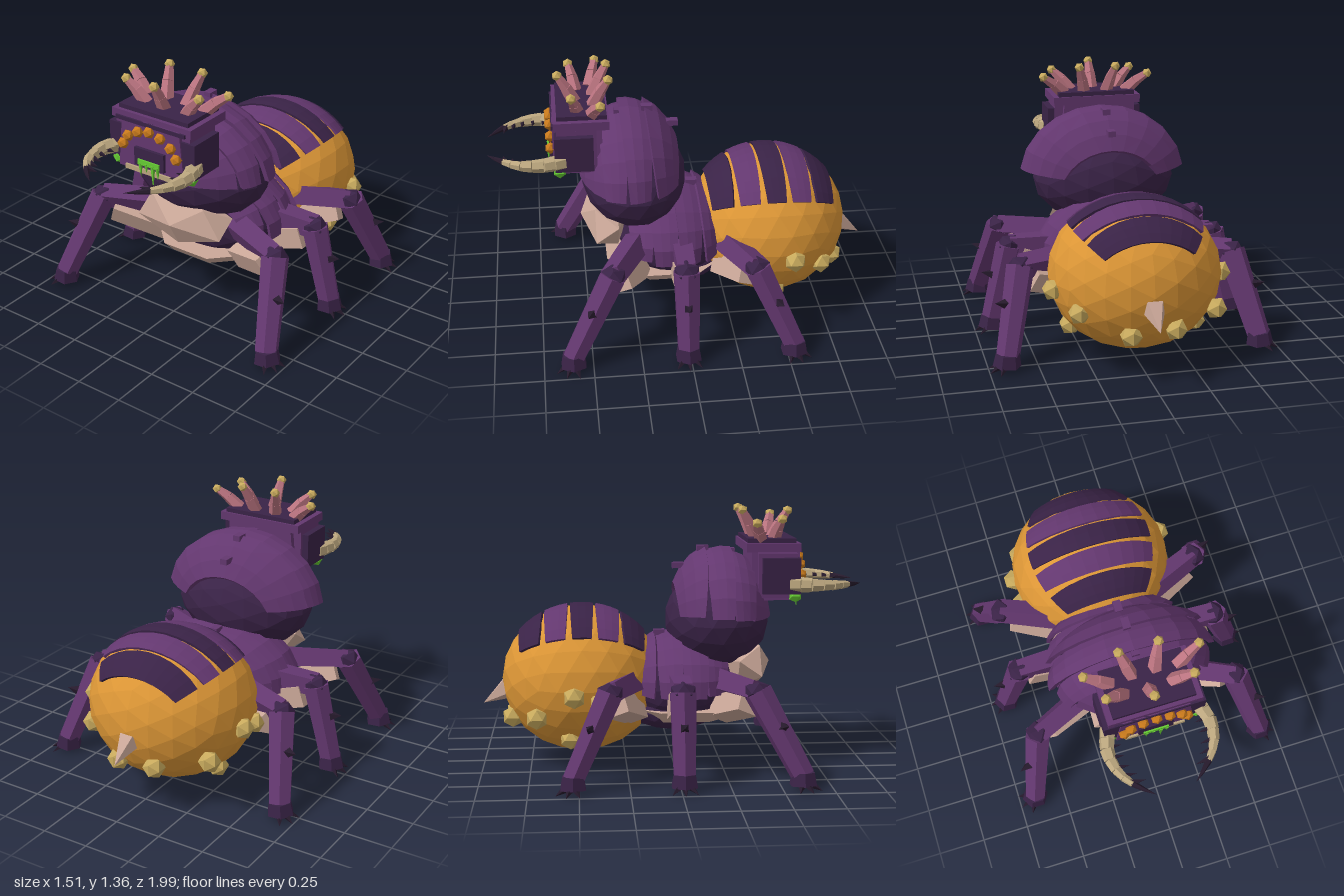
import * as THREE from 'three';

const colour = (name, hex) => {
  const m = new THREE.MeshStandardMaterial({ color: hex });
  m.name = name;
  return m;
};
const V = (x, y, z) => new THREE.Vector3(x, y, z);
const UP = V(0, 1, 0);

// Faceted normals for the low-poly look
function flat(geo) {
  const g = geo.index ? geo.toNonIndexed() : geo;
  g.computeVertexNormals();
  return g;
}

export function createModel() {
  const dark = colour('dark purple', 0x3a2347);
  const purple = colour('purple', 0x63376f);
  const amber = colour('amber', 0xdc9636);
  const flesh = colour('pale flesh', 0xcba899);
  const khaki = colour('khaki gold', 0xc9ab5e);
  const pink = colour('dusky pink', 0xbb7480);
  const green = colour('venom green', 0x66cc33);
  const eyeOrange = colour('eye orange', 0xc97a1c);
  const claw = colour('claw black', 0x261a2c);
  const bone = colour('bone', 0xbba67e);

  const model = new THREE.Group();
  model.name = 'armouredCrawler';

  function add(name, geo, mat, pos, parent = model) {
    const mesh = new THREE.Mesh(flat(geo), mat);
    mesh.name = name;
    if (pos) mesh.position.copy(pos);
    parent.add(mesh);
    return mesh;
  }
  function ball(name, c, r, detail, mat, parent) {
    const g = new THREE.IcosahedronGeometry(1, detail).scale(r.x, r.y, r.z);
    return add(name, g, mat, c, parent);
  }
  const knob = (name, c, r, mat, parent) => ball(name, c, V(r, r, r), 0, mat, parent);
  function box(name, w, h, d, c, mat, parent) {
    return add(name, new THREE.BoxGeometry(w, h, d), mat, c, parent);
  }
  // Tapered prism running from a to b
  function limb(name, a, b, r0, r1, sides, mat, parent) {
    const d = b.clone().sub(a);
    const g = new THREE.CylinderGeometry(r1, r0, d.length(), sides);
    g.rotateY(Math.PI / sides);
    const m = add(name, g, mat, a.clone().add(b).multiplyScalar(0.5), parent);
    m.quaternion.setFromUnitVectors(UP, d.normalize());
    return m;
  }
  // Curved armour strip wrapped over an ellipsoid; th runs from the front pole,
  // t is the side reach and taper narrows the two ends
  function band(name, c, r, th0, th1, t, thick, flare, taper, mat) {
    const g = new THREE.BoxGeometry(1, 1, 1, 10, 1, 3);
    const p = g.attributes.position;
    for (let i = 0; i < p.count; i++) {
      const side = p.getX(i) * 2, a = side * t;
      const k = 1 + thick * p.getY(i) + flare * p.getZ(i);
      const along = 0.5 - p.getZ(i) * (1 - taper * side * side);
      const th = th0 + (th1 - th0) * along;
      p.setXYZ(i, r.x * k * Math.sin(th) * Math.sin(a),
        r.y * k * Math.sin(th) * Math.cos(a), r.z * k * Math.cos(th));
    }
    return add(name, g, mat, c);
  }

  // Abdomen with striped back plates
  const abC = V(0, 0.455, -0.48), abR = V(0.438, 0.385, 0.418);
  ball('abdomen', abC, abR, 3, amber);
  for (let i = 0; i < 5; i++) {
    const z0 = 0.325 - i * 0.132, z1 = z0 - 0.118;
    band('backStripe', abC, abR, Math.acos(z0 / 0.42), Math.acos(z1 / 0.42),
      0.84, 0.05, 0, 0.18, i % 2 ? purple : dark);
  }
  // Warts and tail spike
  [[0.43, 0.42, -0.565], [0.33, 0.345, -0.72], [0.33, 0.2, -0.48], [0.1, 0.25, -0.83],
    [-0.36, 0.31, -0.71], [-0.435, 0.43, -0.52], [-0.42, 0.4, -0.39], [-0.3, 0.19, -0.54],
    [-0.12, 0.27, -0.84]].forEach(p => knob('wart', V(...p), 0.058, khaki));
  limb('tailSpike', V(0, 0.4, -0.87), V(0, 0.32, -1), 0.062, 0, 5, flesh);

  // Lower torso, belly and sternum
  const toC = V(0, 0.43, 0.03);
  ball('torso', toC, V(0.34, 0.24, 0.3), 2, dark);
  ball('belly', V(0, 0.3, 0), V(0.3, 0.12, 0.27), 2, dark);
  add('sternum', new THREE.CylinderGeometry(0.36, 0.3, 0.06, 8).rotateY(Math.PI / 8),
    flesh, V(0, 0.29, 0.06));
  for (let i = 0; i < 4; i++) {
    const th = 0.7 + i * 0.42;
    band('torsoPlate', toC, V(0.385, 0.262, 0.31), th, th + 0.47, 1.68, 0.06, 0.07, 0.3, purple);
  }

  // Raised chest with overlapping shoulder plates
  const chC = V(0, 0.78, 0.235);
  ball('chest', V(0, 0.765, 0.235), V(0.385, 0.25, 0.275), 2, dark);
  [[0.08, 0.95], [0.88, 1.4], [1.32, 1.88], [1.8, 2.62]].forEach(([a, b], i) =>
    band('shoulderPlate', chC, V(0.425, 0.35, 0.265), a, b, 1.53 - i * 0.03, 0.07, 0.07,
      i ? 0.3 : 0.08, purple));
  const gem = new THREE.IcosahedronGeometry(1, 0).rotateX(0.554).scale(0.305, 0.146, 0.13);
  add('breastPlate', gem, flesh, V(0, 0.53, 0.39));

  // Studs along the spine
  [[0.69, -0.07], [1.045, 0.03], [1.135, 0.16], [1.12, 0.3]].forEach(([y, z]) =>
    box('spineStud', 0.04, 0.03, 0.06, V(0, y, z), purple));

  // Head block and cap
  const head = new THREE.Group();
  head.name = 'head';
  model.add(head);
  const skull = new THREE.BoxGeometry(0.4, 0.27, 0.25);
  const sp = skull.attributes.position;
  for (let i = 0; i < sp.count; i++) if (sp.getY(i) > 0) sp.setX(i, sp.getX(i) * 0.87);
  add('skull', skull, purple, V(0, 1.015, 0.525), head);
  box('cap', 0.48, 0.045, 0.28, V(0, 1.155, 0.505), purple, head);
  box('capTop', 0.42, 0.03, 0.25, V(0, 1.185, 0.5), dark, head);
  box('brow', 0.42, 0.02, 0.02, V(0, 1.14, 0.645), dark, head);
  box('mouth', 0.18, 0.095, 0.03, V(0, 0.965, 0.652), dark, head);
  box('lip', 0.31, 0.025, 0.04, V(0, 0.888, 0.64), bone, head);

  // Venom dripping from the mouth
  box('venom', 0.13, 0.028, 0.02, V(0, 0.943, 0.665), green, head);
  [[-0.05, 0.08], [-0.015, 0.05], [0.025, 0.13], [0.055, 0.07]].forEach(([x, h]) =>
    limb('venomDrip', V(x, 0.94, 0.668), V(x, 0.94 - h, 0.668), 0.013, 0, 5, green, head));

  // Arc of eyes
  [[0, 1.11], [0.068, 1.095], [0.13, 1.06], [0.163, 1.01]].forEach(([x, y]) => {
    for (const s of x ? [1, -1] : [1]) knob('eye', V(s * x, y, 0.66), 0.03, eyeOrange, head);
  });

  // Crown of horns: base x, base z, then tip
  [[0, 0.53, 0, 1.33, 0.61], [0.12, 0.52, 0.22, 1.3, 0.55],
    [0.06, 0.44, 0.1, 1.34, 0.36], [0.17, 0.45, 0.29, 1.285, 0.41]].forEach(([bx, bz, x, y, z]) => {
    for (const s of x ? [1, -1] : [1]) {
      const a = V(s * bx, 1.185, bz), b = V(s * x, y, z);
      const mid = a.clone().lerp(b, 0.5).add(V(0, 0.008, 0));
      limb('hornBase', a, mid, 0.037, 0.031, 5, pink, head);
      limb('horn', mid, b, 0.03, 0.02, 5, pink, head);
      knob('hornTip', b, 0.027, khaki, head);
    }
  });

  for (const s of [1, -1]) {
    // Cheeks and venom glands
    box('cheekRim', 0.05, 0.23, 0.2, V(s * 0.2, 1.01, 0.53), purple, head);
    box('cheekPlate', 0.095, 0.185, 0.195, V(s * 0.2125, 1.01, 0.545), dark, head);
    knob('venomGland', V(s * 0.22, 0.905, 0.62), 0.036, green, head);

    // Curved mandible with dark tip and inner teeth
    const curve = new THREE.CatmullRomCurve3([V(s * 0.23, 0.965, 0.6), V(s * 0.265, 0.965, 0.7),
      V(s * 0.252, 0.962, 0.81), V(s * 0.195, 0.96, 0.9), V(s * 0.1, 0.955, 0.985)]);
    const n = 8, at = i => curve.getPoint(i / n), rad = i => 0.044 * (1 - i / n) ** 0.7;
    for (let i = 0; i < n; i++) {
      const tip = i >= n - 2;
      limb(tip ? 'mandibleTip' : 'mandible', at(i), at(i + 1), rad(i), rad(i + 1), 6,
        tip ? claw : bone, head);
    }
    for (let i = 1.8; i < 6.3; i++) {
      const p = at(i);
      limb('mandibleTooth', p, V(p.x - s * 0.075, p.y, p.z + 0.008), 0.02, 0, 4, claw, head);
    }

    // Three legs on each side: knee z and foot z
    [['frontLeg', 0.385, 0.6], ['middleLeg', 0.015, 0.015], ['rearLeg', -0.345, -0.53]]
      .forEach(([name, kz, fz]) => {
        const leg = new THREE.Group();
        leg.name = name;
        model.add(leg);
        const knee = V(s * 0.555, 0.475, kz), foot = V(s * 0.655, 0.07, fz);
        const out = V(s * 1, 0.25, (fz - kz) * 2).normalize();
        limb('coxa', V(s * 0.24, 0.32, kz * 0.6), V(s * 0.5, 0.41, kz * 0.92),
          0.08, 0.08, 4, flesh, leg);
        limb('femur', V(s * 0.22, 0.47, kz * 0.6), knee, 0.075, 0.065, 4, purple, leg);
        ball('knee', knee, V(0.068, 0.058, 0.072), 0, dark, leg);
        limb('shin', knee, foot, 0.073, 0.06, 6, purple, leg);
        limb('foot', foot.clone().add(V(0, 0.02, 0)), foot.clone().add(V(s * 0.005, -0.045, 0)),
          0.06, 0.072, 6, dark, leg);
        // Shin thorn
        const p = knee.clone().lerp(foot, 0.42).addScaledVector(out, 0.045);
        limb('thorn', p, p.clone().addScaledVector(out, 0.07), 0.032, 0, 4, claw, leg);
        // Toe claws
        const heading = Math.atan2(out.z, out.x);
        for (const d of [-0.7, 0, 0.7]) {
          const dir = V(Math.cos(heading + d), 0, Math.sin(heading + d));
          const a = foot.clone().addScaledVector(dir, 0.04).setY(0.035);
          limb('toeClaw', a, a.clone().addScaledVector(dir, 0.06).setY(0.004), 0.022, 0, 4, claw, leg);
        }
      });
  }
  return model;
}
